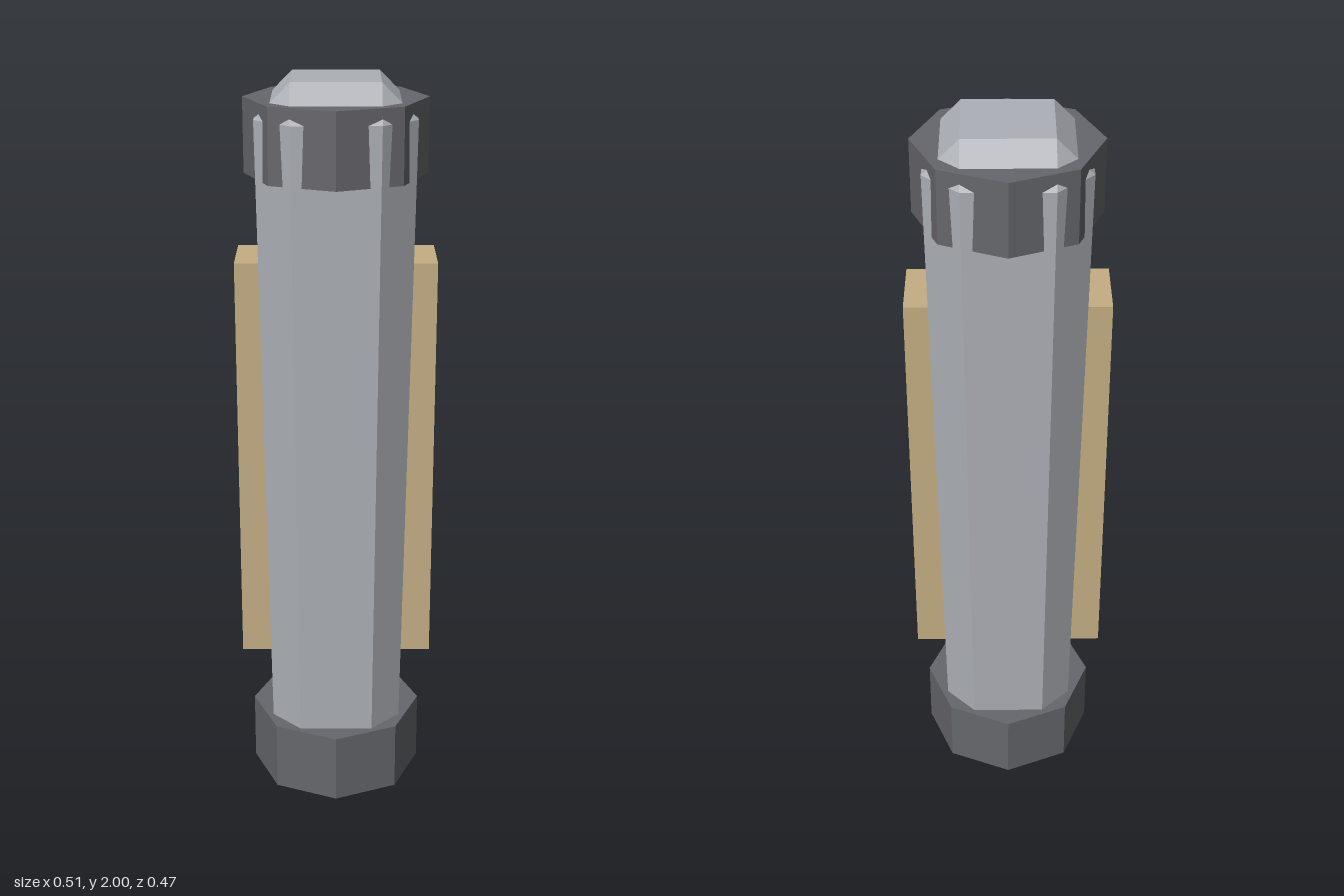
import * as THREE from 'three';
import { ConvexGeometry } from 'three/addons/geometries/ConvexGeometry.js';

function makeMaterial(name, color) {
  const material = new THREE.MeshStandardMaterial({ color });
  material.name = name;
  return material;
}

function addPart(group, name, geometry, material, x = 0, y = 0, z = 0) {
  const mesh = new THREE.Mesh(geometry, material);
  mesh.name = name;
  mesh.position.set(x, y, z);
  group.add(mesh);
  return mesh;
}

// Tapered square post with every edge chamfered
function chamferedPost() {
  const points = [];
  const signs = [-1, 1];
  // each end: cap height, shoulder height, half width, half width of the flat
  for (const [yCap, yShoulder, half, flat] of [[0, 0.09, 0.173, 0.097], [2, 1.91, 0.201, 0.111]]) {
    for (const sx of signs) for (const sz of signs) {
      points.push(
        new THREE.Vector3(sx * flat, yCap, sz * flat),
        new THREE.Vector3(sx * half, yShoulder, sz * flat),
        new THREE.Vector3(sx * flat, yShoulder, sz * half)
      );
    }
  }
  return new ConvexGeometry(points);
}

// Eight-sided band with flat faces and corners on the axes
function bandGeometry() {
  const geometry = new THREE.CylinderGeometry(0.233, 0.233, 0.19, 8).toNonIndexed();
  geometry.computeVertexNormals();
  return geometry;
}

export function createModel() {
  const group = new THREE.Group();
  group.name = 'bandedPost';

  const steel = makeMaterial('light steel', 0xadb0b6);
  const iron = makeMaterial('dark iron', 0x66676c);
  const tan = makeMaterial('tan', 0xc4ae84);

  addPart(group, 'post', chamferedPost(), steel);

  // Bands near both ends; the post's edges break through the upper one
  addPart(group, 'lowerBand', bandGeometry(), iron, 0, 0.155, 0);
  addPart(group, 'upperBand', bandGeometry(), iron, 0, 1.855, 0);

  // Side plates, mirrored
  for (const [name, side] of [['leftPlate', 1], ['rightPlate', -1]]) {
    addPart(group, name, new THREE.BoxGeometry(0.1, 1.095, 0.191), tan, side * 0.207, 1.0025, 0);
  }
  return group;
}
